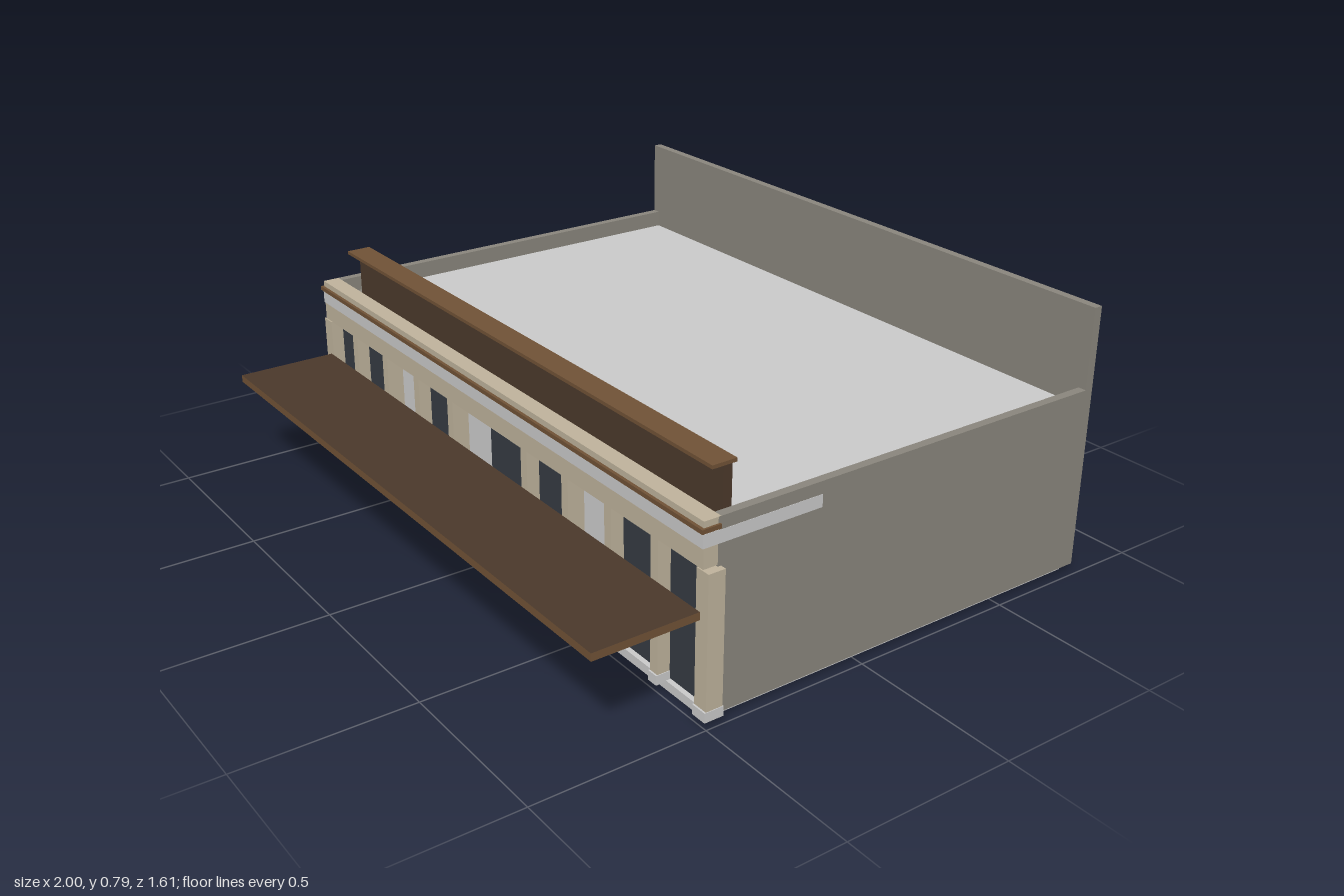
import * as THREE from 'three';

const mat = (name, color) => {
  const m = new THREE.MeshStandardMaterial({ color });
  m.name = name;
  return m;
};

export function createModel() {
  const wall = mat('wall grey', 0x8a867d);
  const pale = mat('pale concrete', 0xcacaca);
  const tan = mat('tan stone', 0xbfb39c);
  const glass = mat('dark glass', 0x353b43);
  const darkWood = mat('dark wood', 0x4b392b);
  const wood = mat('brown wood', 0x705236);

  const model = new THREE.Group();
  model.name = 'shopBuilding';

  // Box given by its limits on each axis
  const box = (name, material, x0, x1, y0, y1, z0, z1) => {
    const g = new THREE.BoxGeometry(x1 - x0, y1 - y0, z1 - z0);
    g.translate((x0 + x1) / 2, (y0 + y1) / 2, (z0 + z1) / 2);
    const mesh = new THREE.Mesh(g, material);
    mesh.name = name;
    model.add(mesh);
    return mesh;
  };

  // Shell: base, walls with parapets, roof
  box('baseSlab', pale, -0.96, 0.96, 0, 0.026, -0.78, 0.475);
  box('rightWall', wall, -0.98, -0.955, 0.02, 0.555, -0.78, 0.46);
  box('leftWall', wall, 0.955, 0.98, 0.02, 0.555, -0.78, 0.46);
  box('backWall', wall, -0.98, 0.98, 0.02, 0.79, -0.805, -0.78);
  box('roof', pale, -0.955, 0.955, 0.485, 0.505, -0.78, 0.37);
  box('frontLintel', wall, -0.955, 0.955, 0.43, 0.51, 0.36, 0.452);

  // Fascia with pale band and brown trim
  box('fascia', tan, -0.98, 0.98, 0.43, 0.555, 0.452, 0.502);
  box('frontBand', pale, -0.981, 0.981, 0.485, 0.522, 0.46, 0.505);
  box('fasciaTrim', wood, -0.986, 0.986, 0.526, 0.538, 0.455, 0.511);
  box('leftBand', pale, 0.979, 0.981, 0.485, 0.52, 0.145, 0.46);
  box('rightBand', pale, -0.981, -0.979, 0.485, 0.52, -0.78, 0.46);

  // Shop bays: flush windows and recessed entrances
  const columns = [-0.965, -0.787, -0.59, -0.395, -0.197, 0.197, 0.395, 0.59, 0.787, 0.965];
  const recessed = [2, 4, 6];
  for (let i = 0; i < columns.length - 1; i++) {
    const a = columns[i], b = columns[i + 1];
    if (recessed.includes(i)) {
      box('entranceDoor', glass, a, b, 0.026, 0.43, 0.36, 0.37);
      box('entranceCeiling', pale, a, b, 0.41, 0.43, 0.37, 0.45);
      box('transomBar', pale, a + 0.015, b - 0.015, 0.392, 0.403, 0.37, 0.39);
    } else {
      box('bayBlock', pale, a, b, 0.026, 0.43, 0.36, 0.455);
      box('window', glass, a + 0.002, b - 0.002, 0.028, 0.43, 0.455, 0.462);
    }
  }

  // Pilasters with pale feet
  columns.forEach((x, i) => {
    const end = i === 0 || i === columns.length - 1;
    const c = end ? Math.sign(x) * 0.975 : x;
    const h = end ? 0.023 : 0.015;
    box('pilaster', tan, c - h, c + h, 0.022, end ? 0.425 : 0.43, 0.45, 0.5);
    box('pilasterFoot', pale, c - h - 0.002, c + h + 0.002, 0.022, 0.05, 0.448, 0.505);
  });

  // Canopy: brown edges, dark top, pale underside
  box('canopy', [wood, wood, darkWood, pale, wood, wood],
    -0.968, 0.968, 0.29, 0.312, 0.5, 0.805);

  // Sign board on the roof with its cap
  box('signBoard', darkWood, -0.92, 0.92, 0.5, 0.648, 0.375, 0.402);
  box('signCap', wood, -0.925, 0.925, 0.646, 0.656, 0.365, 0.438);

  return model;
}
